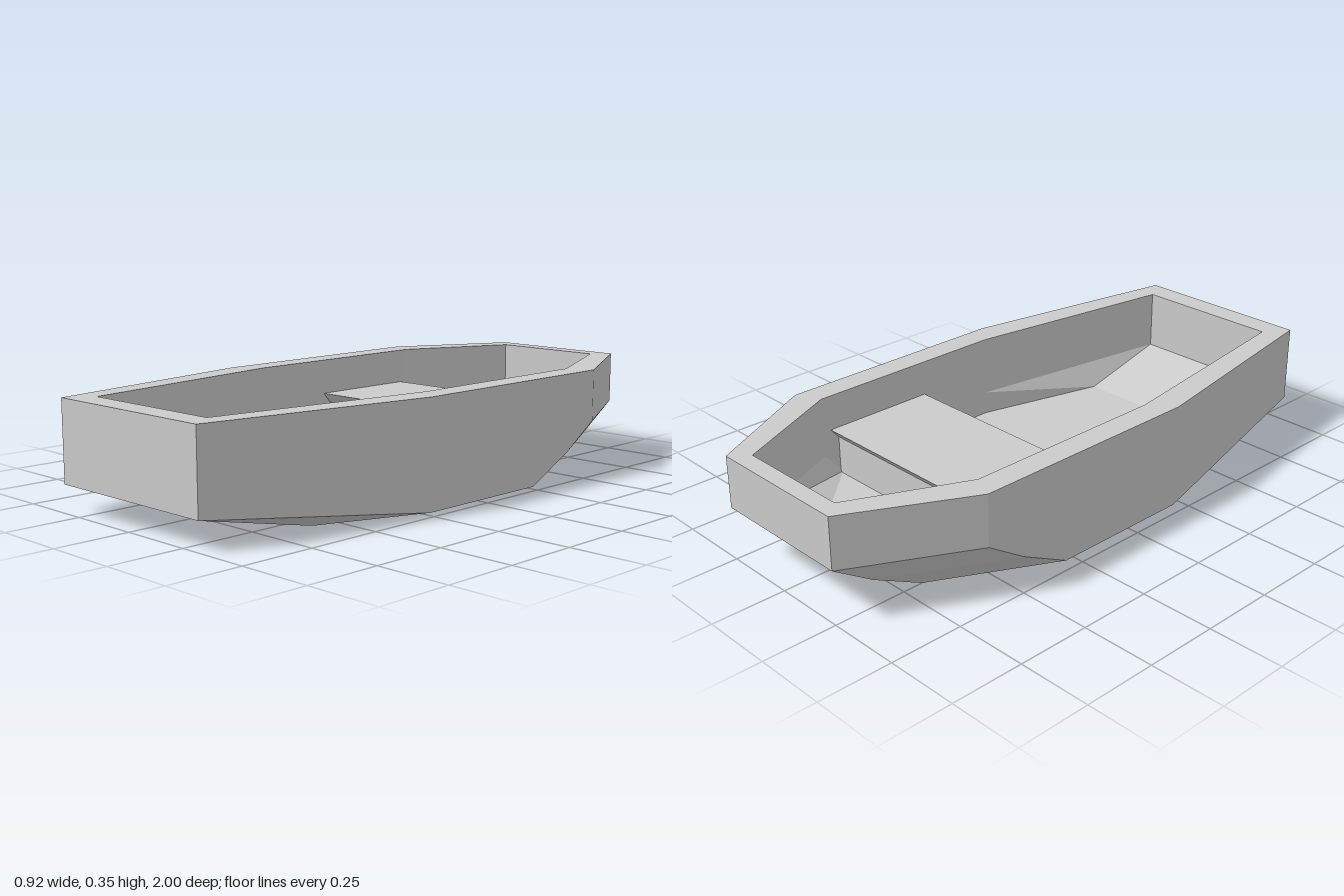
import * as THREE from 'three';

const material = new THREE.MeshStandardMaterial({ color: 0xcccccc, flatShading: true });

// A ring at height y: four [x, z] points down the left side, mirrored to the right
function ring(y, half) {
  const left = half.map(([x, z]) => [x, y, z]);
  const right = half.map(([x, z]) => [-x, y, z]).reverse();
  return [...left, ...right];
}

// Skins successive rings with panels and closes both ends
function loft(rings) {
  const pos = [];
  const tri = (a, b, c) => pos.push(...a, ...b, ...c);
  const n = rings[0].length;
  for (let k = 0; k < rings.length - 1; k++) {
    const l = rings[k], u = rings[k + 1];
    for (let i = 0; i < n; i++) {
      const j = (i + 1) % n;
      if (i < n / 2) {
        tri(l[i], u[i], u[j]);
        tri(l[i], u[j], l[j]);
      } else { // mirrored diagonal on the right side
        tri(l[i], u[i], l[j]);
        tri(u[i], u[j], l[j]);
      }
    }
  }
  const first = rings[0], last = rings[rings.length - 1];
  for (let i = 1; i < n - 1; i++) {
    tri(first[0], first[i], first[i + 1]);
    tri(last[0], last[i + 1], last[i]);
  }
  const g = new THREE.BufferGeometry();
  g.setAttribute('position', new THREE.Float32BufferAttribute(pos, 3));
  g.computeVertexNormals();
  return g;
}

export function createModel() {
  const group = new THREE.Group();
  group.name = 'rowingBoat';

  // Hull: up the outside, over the rim, down the inside to the floor
  const outer = [[0.25, -1], [0.46, -0.6], [0.46, 0.22], [0.32, 1]];
  const chine = [[0.25, -0.86], [0.46, -0.46], [0.46, 0.22], [0.32, 1]];
  const keel = [[0.25, -0.68], [0.46, -0.28], [0.46, 0.22], [0.32, 0.58]];
  const inner = [[0.2, -0.94], [0.375, -0.56], [0.375, 0.155], [0.26, 0.915]];
  const floor = [[0.2, -0.68], [0.375, -0.49], [0.375, 0.155], [0.26, 0.6]];
  const hull = new THREE.Mesh(loft([
    ring(0, keel),
    ring(0.09, chine),
    ring(0.18, outer),
    ring(0.355, outer),
    ring(0.355, inner),
    ring(0.15, inner),
    ring(0.07, floor),
  ]), material);
  hull.name = 'hull';
  group.add(hull);

  // Bench: slab with undercut edges on a solid base, spanning wall to wall
  const profile = new THREE.Shape([
    [-0.53, 0.235], [-0.5, 0.2], [-0.5, 0.06], [-0.16, 0.06], [-0.16, 0.2], [-0.13, 0.235],
  ].map(([z, y]) => new THREE.Vector2(z, y)));
  const benchGeometry = new THREE.ExtrudeGeometry(profile, { depth: 0.75, bevelEnabled: false });
  benchGeometry.rotateY(-Math.PI / 2).translate(0.375, 0, 0);
  const bench = new THREE.Mesh(benchGeometry, material);
  bench.name = 'bench';
  group.add(bench);

  return group;
}
